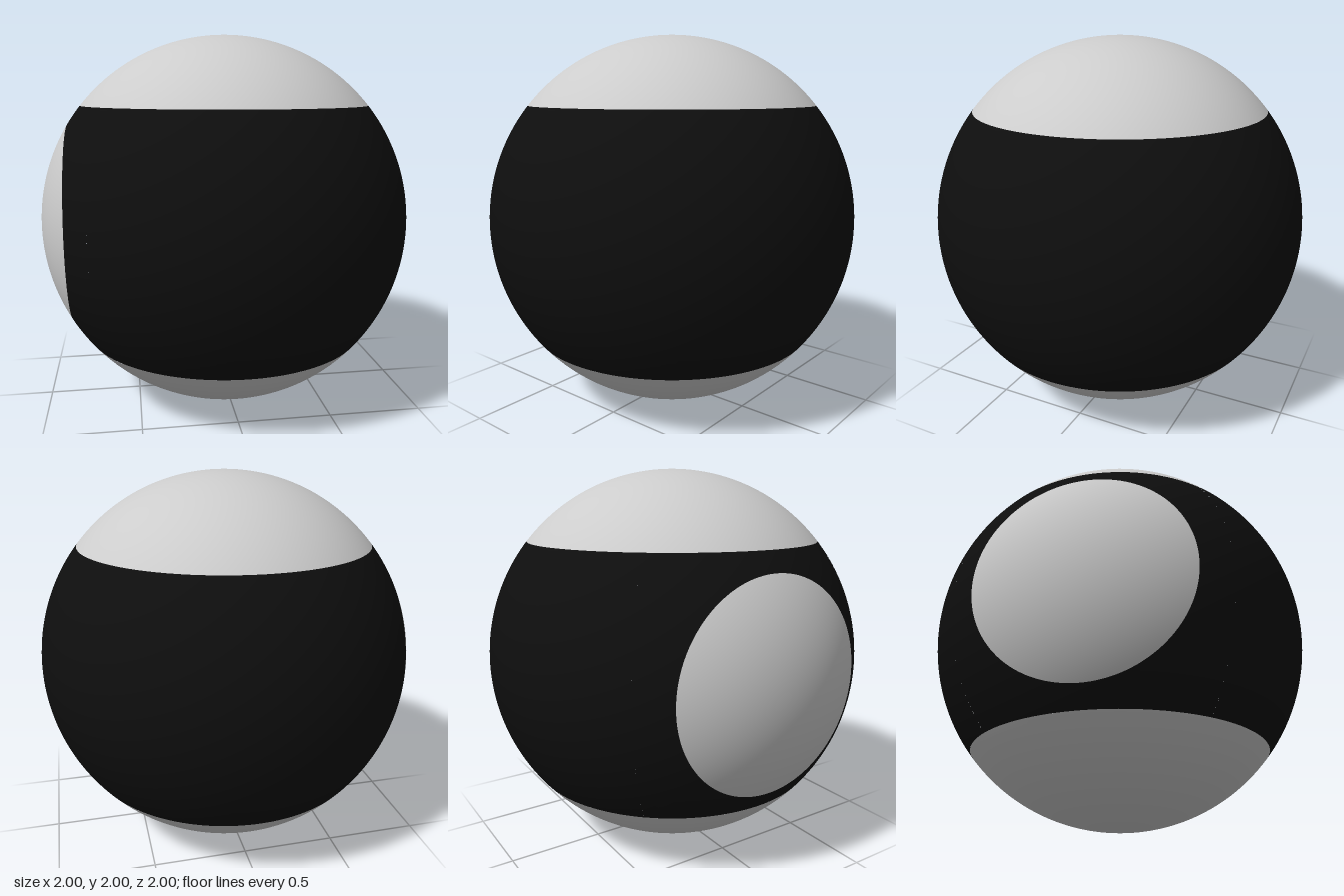
import * as THREE from 'three';

const CAP = Math.acos(0.63);       // polar angle of the top and bottom caps
const LAT = Math.PI / 2 - CAP;     // latitude reached by the dark band
const SIDE = Math.acos(0.846);     // polar angle of the side disc
const PATCH = 0.75;                // half width (azimuth) of the band panel around the disc

// Band panel with a round opening: rings run from the disc's rim to a rectangle in azimuth and latitude
function panelGeometry(segments = 128, rings = 12) {
  const positions = [], indices = [];
  const rim = Math.sin(SIDE), depth = Math.cos(SIDE);
  for (let j = 0; j <= rings; j++) {
    for (let i = 0; i <= segments; i++) {
      const t = (i / segments) * Math.PI * 2, c = Math.cos(t), s = Math.sin(t);
      const m = Math.max(Math.abs(c), Math.abs(s)), k = j / rings;
      const az = THREE.MathUtils.lerp(Math.atan2(rim * c, depth), (PATCH * c) / m, k);
      const lat = THREE.MathUtils.lerp(Math.asin(rim * s), (LAT * s) / m, k);
      positions.push(-Math.cos(az) * Math.cos(lat), Math.sin(lat), Math.sin(az) * Math.cos(lat));
      if (j < rings && i < segments) {
        const a = j * (segments + 1) + i, b = a + segments + 1;
        indices.push(a, b, b + 1, a, b + 1, a + 1);
      }
    }
  }
  const g = new THREE.BufferGeometry();
  g.setAttribute('position', new THREE.Float32BufferAttribute(positions, 3));
  g.setAttribute('normal', new THREE.Float32BufferAttribute(positions, 3)); // unit sphere
  g.setIndex(indices);
  return g;
}

export function createModel() {
  const model = new THREE.Group();
  model.name = 'ball';
  const black = new THREE.MeshStandardMaterial({ color: 0x0e0e0e });
  black.name = 'black';
  const lightGrey = new THREE.MeshStandardMaterial({ color: 0xcccccc });
  lightGrey.name = 'light grey';

  const add = (name, geometry, material) => {
    const mesh = new THREE.Mesh(geometry, material);
    mesh.name = name;
    mesh.position.y = 1;
    model.add(mesh);
  };
  const cap = (angle) => new THREE.SphereGeometry(1, 128, 24, 0, Math.PI * 2, 0, angle);

  // Pale caps: top, bottom and the smaller disc on the -x side
  add('topCap', cap(CAP), lightGrey);
  add('bottomCap', cap(CAP).rotateX(Math.PI), lightGrey);
  add('sideDisc', cap(SIDE).rotateZ(Math.PI / 2), lightGrey);

  // Dark band around the middle, completed by the panel that frames the disc
  add('band', new THREE.SphereGeometry(1, 112, 48, PATCH, Math.PI * 2 - PATCH * 2, CAP, Math.PI - CAP * 2), black);
  add('bandPanel', panelGeometry(), black);
  return model;
}
